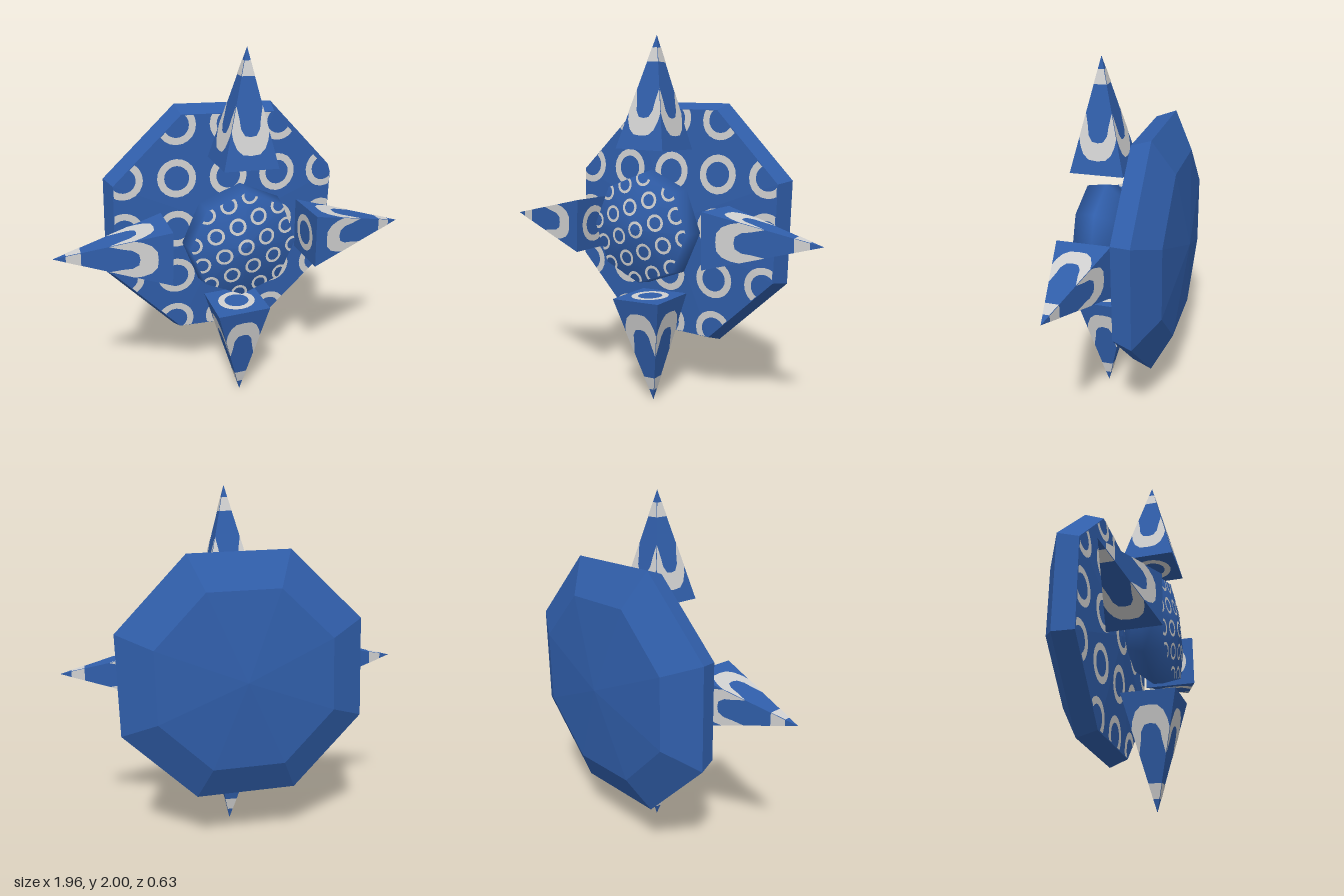
import * as THREE from 'three';

const blue = new THREE.MeshStandardMaterial({ color: 0x305eaa });
blue.name = 'blue';
const grey = new THREE.MeshStandardMaterial({ color: 0xd0d0d0 });
grey.name = 'pale grey';

const HALF = Math.PI / 8;
const LIFT = 0.003; // painted details sit just above the surface

function mesh(name, geometry, material) {
  const m = new THREE.Mesh(geometry, material);
  m.name = name;
  return m;
}

function faceted(geometry) {
  const g = geometry.toNonIndexed();
  g.computeVertexNormals();
  return g;
}

// Keep the part of a convex polygon where x*nx + y*ny <= d
function clip(poly, nx, ny, d) {
  const out = [];
  poly.forEach((p, i) => {
    const q = poly[(i + 1) % poly.length];
    const a = p[0] * nx + p[1] * ny - d;
    const b = q[0] * nx + q[1] * ny - d;
    if (a <= 0) out.push(p);
    if (a * b < 0) {
      const t = a / (a - b);
      out.push([p[0] + (q[0] - p[0]) * t, p[1] + (q[1] - p[1]) * t]);
    }
  });
  return out;
}

// Grid of rings laid over the shallow eight-sided front, trimmed at its rim
function ringPattern(R, innerRatio) {
  const apothem = 0.945 * R * Math.cos(HALF);
  const normals = Array.from({ length: 8 }, (_, k) => [Math.cos(2 * HALF * k), Math.sin(2 * HALF * k)]);
  const height = ([x, y]) =>
    0.15 - 0.042 * Math.max(...normals.map(n => x * n[0] + y * n[1])) / apothem + LIFT;
  const step = 0.4 * R, outer = 0.148 * R, inner = outer * innerRatio, segs = 20;
  const pos = [];
  for (let i = -2; i <= 2; i++) for (let j = -2; j <= 2; j++) for (let s = 0; s < segs; s++) {
    const a = s / segs * Math.PI * 2, b = (s + 1) / segs * Math.PI * 2;
    const at = (r, t) => [i * step + r * Math.cos(t), j * step + r * Math.sin(t)];
    let poly = [at(inner, a), at(outer, a), at(outer, b), at(inner, b)];
    for (const n of normals) poly = clip(poly, n[0], n[1], apothem * 0.995);
    for (let k = 1; k + 1 < poly.length; k++)
      for (const p of [poly[0], poly[k], poly[k + 1]]) pos.push(p[0], p[1], height(p));
  }
  const g = new THREE.BufferGeometry();
  g.setAttribute('position', new THREE.Float32BufferAttribute(pos, 3));
  g.computeVertexNormals();
  return g;
}

// Eight-sided dish: tapered back, broad slightly domed front facing +z
function dish(name, R, smooth, innerRatio) {
  const group = new THREE.Group();
  group.name = name;
  const profile = [[0, -0.15], [0.715, -0.107], [1, 0], [0.945, 0.108], [0, 0.15]]
    .map(([r, z]) => new THREE.Vector2(r * R, z));
  const lathe = new THREE.LatheGeometry(profile, 8);
  lathe.rotateX(Math.PI / 2).rotateZ(HALF);
  group.add(mesh(name + 'Body', smooth ? lathe : faceted(lathe), blue));
  group.add(mesh(name + 'Rings', ringPattern(R, innerRatio), grey));
  return group;
}

// Square pyramid between a base centre and a tip, with painted faces
function spike(name, bx, by, tx, ty) {
  const group = new THREE.Group();
  group.name = name;
  const w = 0.147, L = Math.hypot(tx - bx, ty - by), slant = Math.hypot(L, w);
  const cone = new THREE.ConeGeometry(w * Math.SQRT2, L, 4, 1);
  cone.rotateY(Math.PI / 4).translate(0, L / 2, 0);
  group.add(mesh('spikeBody', faceted(cone), blue));

  // Points are given as [x, share of height]; null x means on the slanted edge
  const toPoint = ([x, v]) => new THREE.Vector2(x ?? w * (1 - v), v * slant);
  const mirrored = half => {
    const right = half.map(toPoint);
    const left = right.filter(p => p.x > 0).map(p => new THREE.Vector2(-p.x, p.y)).reverse();
    return { right, left };
  };
  const outer = mirrored([[0, 0.122], [0.045, 0.13], [0.075, 0.175], [0.093, 0.25], [null, 0.32], [null, 0.52]]);
  const inner = mirrored([[0, 0.275], [0.03, 0.285], [0.05, 0.34], [0.056, 0.42], [null, 0.53]]);
  const arch = new THREE.Shape([
    ...outer.right, ...inner.right.slice(1).reverse(), inner.right[0],
    ...inner.left.slice().reverse(), ...outer.left,
  ]);
  const band = mirrored([[null, 0.765], [null, 0.89]]);
  const tipBand = new THREE.Shape([...band.right, ...band.left]);

  for (let i = 0; i < 4; i++) {
    const face = new THREE.Group();
    face.name = 'spikeFacePaint';
    face.rotation.y = i * Math.PI / 2;
    const paint = mesh('arch', new THREE.ShapeGeometry(arch), grey);
    const stripe = mesh('tipBand', new THREE.ShapeGeometry(tipBand), grey);
    for (const m of [paint, stripe]) {
      m.position.z = w + LIFT * 0.7;
      m.rotation.x = -Math.atan2(w, L);
      face.add(m);
    }
    group.add(face);
  }

  const baseRing = mesh('baseRing', new THREE.RingGeometry(0.068, 0.104, 20), grey);
  baseRing.rotation.x = Math.PI / 2;
  baseRing.position.y = -LIFT;
  group.add(baseRing);

  group.position.set(bx, by, 0.163);
  group.rotation.z = Math.atan2(bx - tx, ty - by);
  return group;
}

export function createModel() {
  const model = new THREE.Group();
  model.name = 'spikedDisc';
  const tilt = THREE.MathUtils.degToRad(-1.8);

  // Large disc behind
  const plate = dish('backDisc', 0.727, false, 0.64);
  plate.position.set(0, 0.99, -0.165);
  plate.rotation.z = tilt;
  model.add(plate);

  // Small rounded core in front, turned half a side
  const core = dish('core', 0.31, true, 0.68);
  core.position.set(0, 0.99, 0.162);
  core.rotation.z = tilt + HALF;
  model.add(core);

  // Four floating spikes
  model.add(spike('topSpike', 0.025, 1.41, 0.043, 2));
  model.add(spike('bottomSpike', -0.005, 0.6, 0.015, 0.005));
  model.add(spike('leftSpike', 0.4, 0.967, 0.978, 0.972));
  model.add(spike('rightSpike', -0.395, 0.977, -0.982, 0.998));
  return model;
}
